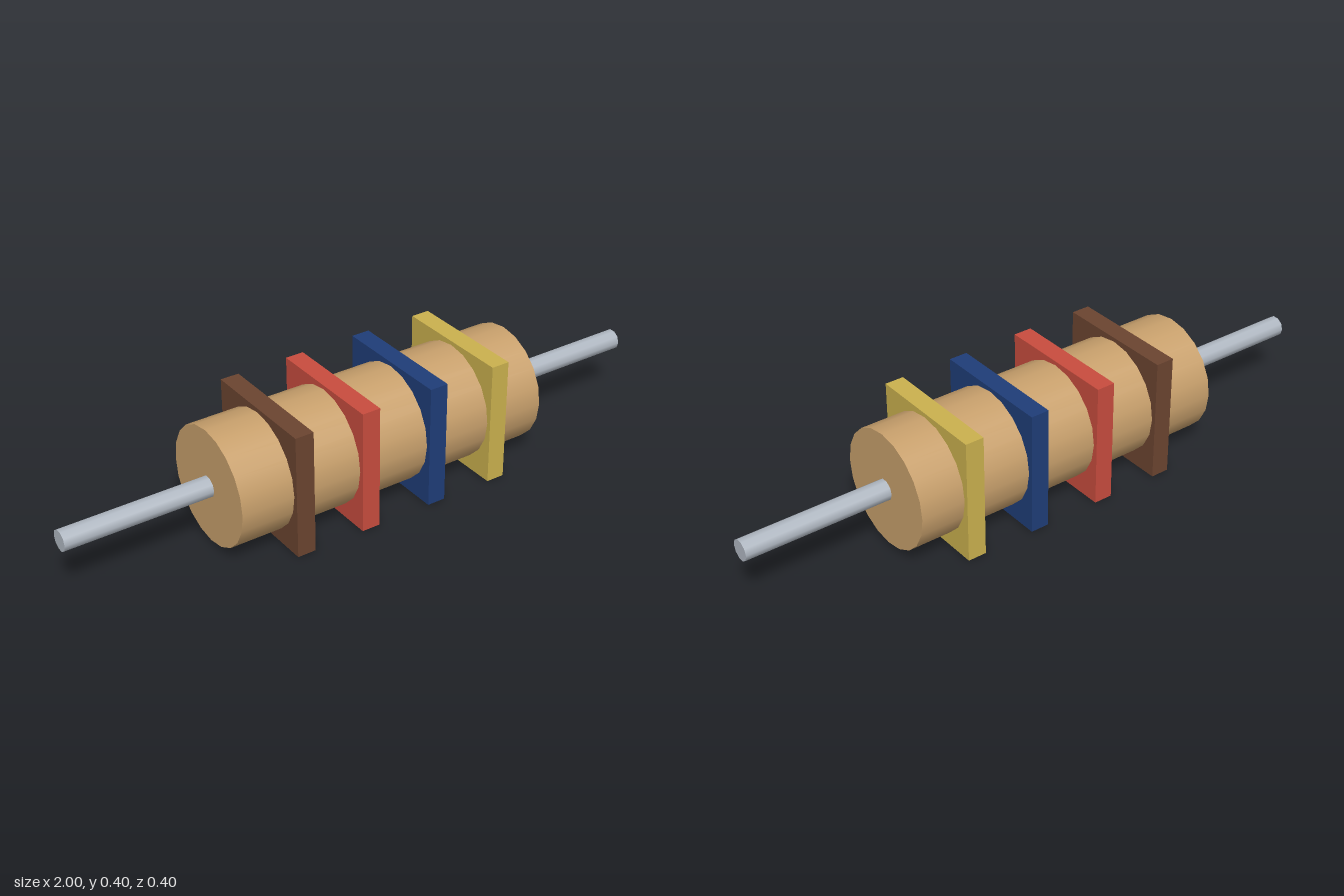
import * as THREE from 'three';

const CENTRE_Y = 0.2;

function material(name, color) {
  const m = new THREE.MeshStandardMaterial({ color });
  m.name = name;
  return m;
}

export function createModel() {
  const group = new THREE.Group();
  group.name = 'resistor';

  const tan = material('tan', 0xc8a06c);
  const metal = material('metal', 0xb0b8c2);

  const add = (name, geometry, mat, x) => {
    const mesh = new THREE.Mesh(geometry, mat);
    mesh.name = name;
    mesh.position.set(x, CENTRE_Y, 0);
    group.add(mesh);
  };

  // Cylinder lying along the x axis
  const rod = (radius, length, sides) =>
    new THREE.CylinderGeometry(radius, radius, length, sides).rotateZ(Math.PI / 2);

  // Ceramic body
  add('body', rod(0.187, 1.067, 20), tan, 0);

  // Wire leads, one at each end
  for (const [name, side] of [['leftLead', 1], ['rightLead', -1]]) {
    add(name, rod(0.0333, 0.467, 10), metal, side * 0.7665);
  }

  // Square colour bands around the body
  const bands = [
    ['brown', 0x6b4430, -0.333],
    ['red', 0xc84c3e, -0.107],
    ['blue', 0x1f3d78, 0.133],
    ['gold', 0xcab14e, 0.36],
  ];
  for (const [name, color, x] of bands) {
    add(name + 'Band', new THREE.BoxGeometry(0.06, 0.4, 0.4), material(name, color), x);
  }

  return group;
}
